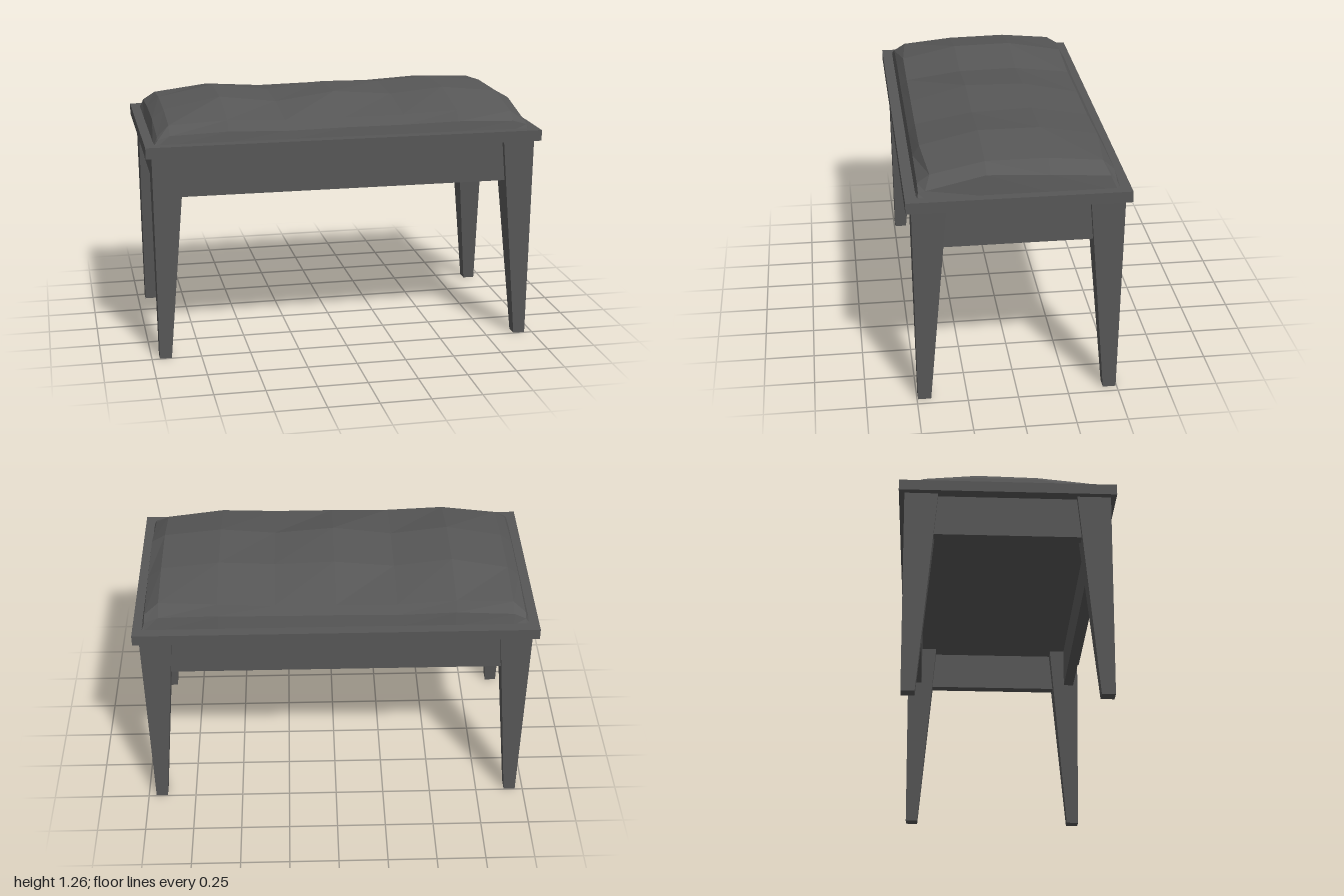
import * as THREE from 'three';

const charcoal = new THREE.MeshStandardMaterial({ color: 0x575757, flatShading: true });
charcoal.name = 'charcoal';

function add(parent, name, geometry, x = 0, y = 0, z = 0) {
  const mesh = new THREE.Mesh(geometry, charcoal);
  mesh.name = name;
  mesh.position.set(x, y, z);
  parent.add(mesh);
  return mesh;
}

// Square leg: nearly straight outside, tapering on its two inner faces
function legGeometry(sx, sz) {
  const g = new THREE.BoxGeometry(1, 1, 1);
  const p = g.attributes.position;
  for (let i = 0; i < p.count; i++) {
    const top = p.getY(i) > 0;
    const outX = p.getX(i) * sx > 0, outZ = p.getZ(i) * sz > 0;
    const x = top ? (outX ? 0.97 : 0.81) : (outX ? 0.96 : 0.9);
    const z = top ? (outZ ? 0.505 : 0.34) : (outZ ? 0.495 : 0.43);
    p.setXYZ(i, sx * x, top ? 1.05 : 0, sz * z);
  }
  g.computeVertexNormals();
  return g;
}

// Lumpy padded cushion: height rows from front to back, each from right to left
function cushionGeometry() {
  const xs = [-0.955, -0.935, -0.875, -0.59, -0.3, 0, 0.3, 0.58, 0.87, 0.94, 0.955];
  const zs = [0.48, 0.468, 0.435, 0.15, -0.15, -0.435, -0.465, -0.482];
  const base = 1.095;
  const heights = [
    Array(11).fill(base),
    [base, 1.12, 1.14, 1.15, 1.14, 1.145, 1.145, 1.15, 1.14, 1.12, base],
    [base, 1.13, 1.18, 1.2, 1.187, 1.19, 1.19, 1.2, 1.18, 1.13, base],
    [base, 1.16, 1.205, 1.26, 1.225, 1.265, 1.24, 1.265, 1.235, 1.195, base],
    [base, 1.16, 1.21, 1.265, 1.23, 1.26, 1.25, 1.265, 1.235, 1.18, base],
    [base, 1.14, 1.185, 1.215, 1.195, 1.2, 1.2, 1.215, 1.21, 1.16, base],
    [base, 1.12, 1.15, 1.165, 1.155, 1.16, 1.16, 1.165, 1.16, 1.13, base],
    Array(11).fill(base),
  ];
  const pos = [], index = [], n = xs.length;
  heights.forEach((row, j) => row.forEach((y, i) => {
    // pull the inner corners in a little
    const corner = (i === 2 || i === n - 3) && (j === 2 || j === 5);
    pos.push(xs[i], y, corner ? zs[j] * 0.94 : zs[j]);
  }));
  for (let j = 0; j < zs.length - 1; j++) {
    for (let i = 0; i < n - 1; i++) {
      const a = j * n + i, b = a + 1, c = b + n, d = a + n;
      index.push(a, b, c, a, c, d);
    }
  }
  const g = new THREE.BufferGeometry();
  g.setAttribute('position', new THREE.Float32BufferAttribute(pos, 3));
  g.setIndex(index);
  g.computeVertexNormals();
  return g;
}

export function createModel() {
  const bench = new THREE.Group();
  bench.name = 'bench';

  // Seat board and cushion
  add(bench, 'seatBoard', new THREE.BoxGeometry(2, 0.055, 1.064), 0, 1.0725, 0);
  add(bench, 'cushion', cushionGeometry());

  // Aprons between the legs, set slightly behind their outer faces
  for (const s of [1, -1]) {
    add(bench, s > 0 ? 'frontApron' : 'backApron',
      new THREE.BoxGeometry(1.7, 0.217, 0.055), 0, 0.9415, s * 0.45);
    add(bench, s > 0 ? 'leftApron' : 'rightApron',
      new THREE.BoxGeometry(0.055, 0.217, 0.75), s * 0.915, 0.9415, 0);
  }

  // Four tapered legs
  for (const sx of [1, -1]) for (const sz of [1, -1]) {
    add(bench, (sz > 0 ? 'front' : 'back') + (sx > 0 ? 'Left' : 'Right') + 'Leg', legGeometry(sx, sz));
  }
  return bench;
}
